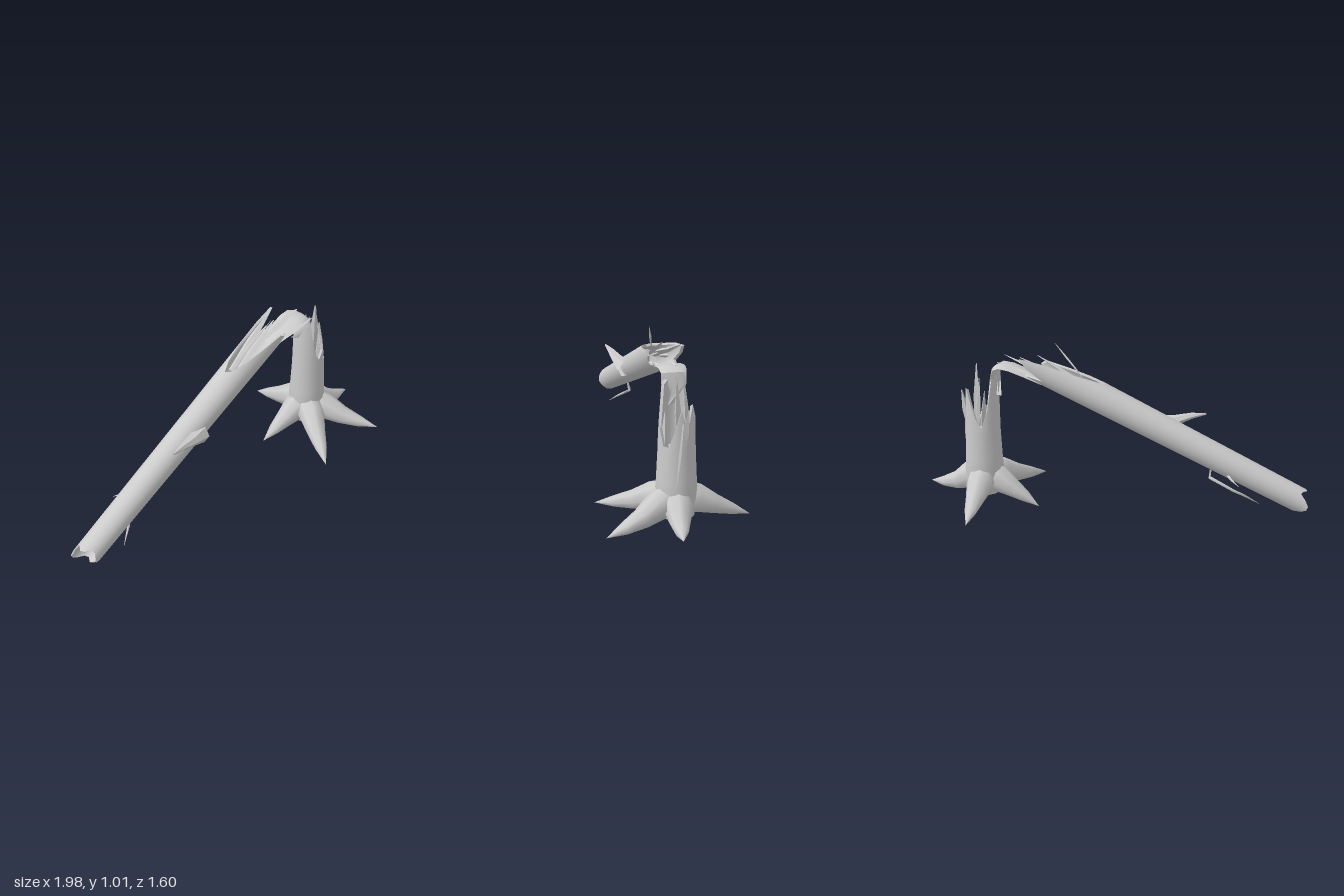
import * as THREE from 'three';
import { toCreasedNormals } from 'three/addons/utils/BufferGeometryUtils.js';

const V = (x, y, z) => new THREE.Vector3(x, y, z);
const material = new THREE.MeshStandardMaterial({ color: 0xcccccc, side: THREE.DoubleSide });

// Skin over a list of closed rings that all have the same number of points
function loft(rings, crease = 0.8) {
  const n = rings[0].length;
  const pos = rings.flat().flatMap((p) => [p.x, p.y, p.z]);
  const index = [];
  for (let r = 0; r < rings.length - 1; r++) {
    for (let i = 0; i < n; i++) {
      const a = r * n + i, b = r * n + ((i + 1) % n);
      index.push(a, a + n, b, b, a + n, b + n);
    }
  }
  const g = new THREE.BufferGeometry();
  g.setAttribute('position', new THREE.Float32BufferAttribute(pos, 3));
  g.setIndex(index);
  return toCreasedNormals(g, crease);
}

// Elliptical ring around c, spanned by two axes
function ring(c, u, v, ru, rv, n) {
  return Array.from({ length: n }, (_, i) => {
    const a = (i / n) * Math.PI * 2;
    return c.clone().addScaledVector(u, Math.cos(a) * ru).addScaledVector(v, Math.sin(a) * rv);
  });
}

// Tapered shaft along a few points; radii gives [half width, half height] at each
function taper(points, radii, n = 4, crease = 0.8) {
  const last = points.length - 1;
  const rings = points.map((p, i) => {
    const d = points[Math.min(i + 1, last)].clone().sub(points[Math.max(i - 1, 0)]).normalize();
    const side = V(0, 1, 0).cross(d);
    if (side.length() < 0.05) side.set(1, 0, 0);
    side.normalize();
    return ring(p, side, d.clone().cross(side), radii[i][0], radii[i][1], n);
  });
  return loft(rings, crease);
}

export function createModel() {
  const model = new THREE.Group();
  const add = (name, geometry) => {
    const mesh = new THREE.Mesh(geometry, material);
    mesh.name = name;
    model.add(mesh);
  };

  // Stump: hollow, with a ragged rim that is tallest on the side of the hinge
  const N = 18;
  const base = V(0.565, 0, -0.468);
  const rim = [0.5, 0.5, 0.6, 0.54, 0.6, 0.82, 0.84, 0.84, 0.84,
    0.8, 0.6, 0.5, 0.56, 0.66, 0.74, 0.58, 0.72, 0.6];
  const stumpRing = (r, y) => rim.map((h, i) => {
    const a = (i / N) * Math.PI * 2;
    return V(base.x + Math.cos(a) * r, typeof y === 'function' ? y(h) : y, base.z + Math.sin(a) * r * 1.04);
  });
  add('stump', loft([
    stumpRing(0, 0.07), stumpRing(0.1, 0.07), stumpRing(0.116, 0.17), stumpRing(0.108, 0.3),
    stumpRing(0.101, 0.46), stumpRing(0.099, (h) => h), stumpRing(0.083, (h) => h - 0.01),
    stumpRing(0.083, 0.45), stumpRing(0, 0.43),
  ]));

  // Five pointed roots
  const tips = [[0.3, 0.02, -0.8], [0.87, 0.08, -0.66], [0.99, 0.06, -0.26], [0.6, 0.035, 0.03], [0.26, 0.005, -0.29]];
  for (const [x, y, z] of tips) {
    const at = (t, h) => V(base.x + (x - base.x) * t, h, base.z + (z - base.z) * t);
    add('root', taper(
      [at(0.06, 0.17), at(0.27, 0.15), at(0.5, 0.105), at(0.75, 0.055 + y * 0.4), at(1, y)],
      [[0.085, 0.1], [0.083, 0.085], [0.06, 0.058], [0.038, 0.033], [0, 0]], 8, 1.0));
  }

  // Fallen trunk: shell with a broken foot and an upper end torn open on top
  const foot = V(-0.905, 0.15, 0.745);
  const along = V(0.693, 0.429, -0.578).normalize();
  const side = V(0.657, 0, 0.754).normalize();
  const up = side.clone().cross(along).normalize();
  if (up.y < 0) up.negate();
  const torn = [1.31, 1.33, 1.42, 1.55, 1.7, 1.72, 1.66, 1.76, 1.8,
    1.8, 1.8, 1.76, 1.66, 1.78, 1.84, 1.7, 1.5, 1.38];
  const footEnd = [-0.01, 0, 0.03, 0.03, 0.01, 0, 0.02, 0.03, 0.0,
    -0.01, 0.01, 0, -0.03, -0.05, -0.05, -0.02, 0.02, 0.01];
  const trunkRing = (scale, sAt) => torn.map((end, i) => {
    const s = sAt(i, end), a = (i / N) * Math.PI * 2;
    const r = (0.074 + 0.012 * s) * scale;
    return foot.clone().addScaledVector(along, s)
      .addScaledVector(up, Math.cos(a) * r).addScaledVector(side, Math.sin(a) * r);
  });
  add('fallenTrunk', loft([
    trunkRing(0, () => 0.06), trunkRing(0.86, () => 0.06), trunkRing(0.9, (i) => footEnd[i]),
    trunkRing(1, (i) => footEnd[i]), trunkRing(1, () => 0.6), trunkRing(1, () => 1.2),
    trunkRing(1, (i, e) => e), trunkRing(0.84, (i, e) => e - 0.01),
    trunkRing(0.8, () => 1.22), trunkRing(0, () => 1.2),
  ]));

  // Bent strip of wood that still joins the trunk to the stump
  const strip = [[0.27, 0.79, -0.235, 0.05], [0.35, 0.838, -0.3, 0.075], [0.42, 0.87, -0.355, 0.08],
    [0.465, 0.878, -0.392, 0.075], [0.492, 0.862, -0.412, 0.07], [0.5, 0.8, -0.416, 0.068], [0.5, 0.7, -0.416, 0.06]];
  add('hingeStrip', taper(strip.map(([x, y, z]) => V(x, y, z)), strip.map((p) => [p[3], 0.014]), 8));

  // Splinters: start, end, half width, half thickness
  const splinters = [
    [[0.07, 0.77, -0.05], [0.3, 0.95, -0.25], 0.022, 0.012],
    [[0.1, 0.835, -0.08], [0.265, 1.015, -0.15], 0.007, 0.007],
    [[0.08, 0.8, -0.1], [0.26, 0.9, -0.27], 0.018, 0.012],
    [[0.02, 0.75, -0.06], [0.31, 0.96, -0.37], 0.025, 0.015],
    [[0.18, 0.82, -0.18], [0.4, 0.92, -0.34], 0.025, 0.012],
    [[0.31, 0.82, -0.19], [0.545, 0.905, -0.31], 0.016, 0.008],
    [[0.3, 0.84, -0.29], [0.47, 0.9, -0.42], 0.03, 0.012],
    [[0.595, 0.43, -0.5], [0.597, 0.875, -0.48], 0.028, 0.02],
    [[0.615, 0.45, -0.53], [0.63, 0.72, -0.57], 0.025, 0.02],
    [[0.54, 0.44, -0.53], [0.545, 0.8, -0.5], 0.02, 0.014],
    [[0.63, 0.4, -0.43], [0.61, 0.68, -0.42], 0.022, 0.016],
    [[0.635, 0.64, -0.54], [0.668, 0.28, -0.52], 0.012, 0.008],
  ];
  for (const [a, b, w, h] of splinters) {
    const p = V(...a), q = V(...b);
    add('splinter', taper([p, p.clone().lerp(q, 0.55), q], [[w * 0.6, h * 0.6], [w, h], [w * 0.15, h * 0.15]], 4, 0.4));
  }

  // Broken branch stub, flattened towards its end
  add('branchStub', taper(
    [V(-0.2, 0.54, 0.24), V(-0.265, 0.565, 0.335), V(-0.32, 0.59, 0.41), V(-0.375, 0.602, 0.48)],
    [[0.06, 0.055], [0.038, 0.03], [0.022, 0.018], [0.004, 0.006]], 6));

  // Thin bent twigs
  add('twig', taper(
    [V(-0.51, 0.34, 0.4), V(-0.515, 0.265, 0.385), V(-0.64, 0.2, 0.46), V(-0.655, 0.15, 0.54), V(-0.69, 0.085, 0.63)],
    [[0.009, 0.009], [0.01, 0.01], [0.011, 0.008], [0.008, 0.007], [0.001, 0.001]], 5));
  add('sideTwig', taper([V(-0.6, 0.3, 0.44), V(-0.66, 0.29, 0.415), V(-0.73, 0.27, 0.41)],
    [[0.01, 0.01], [0.007, 0.007], [0.001, 0.001]], 5));

  return model;
}
